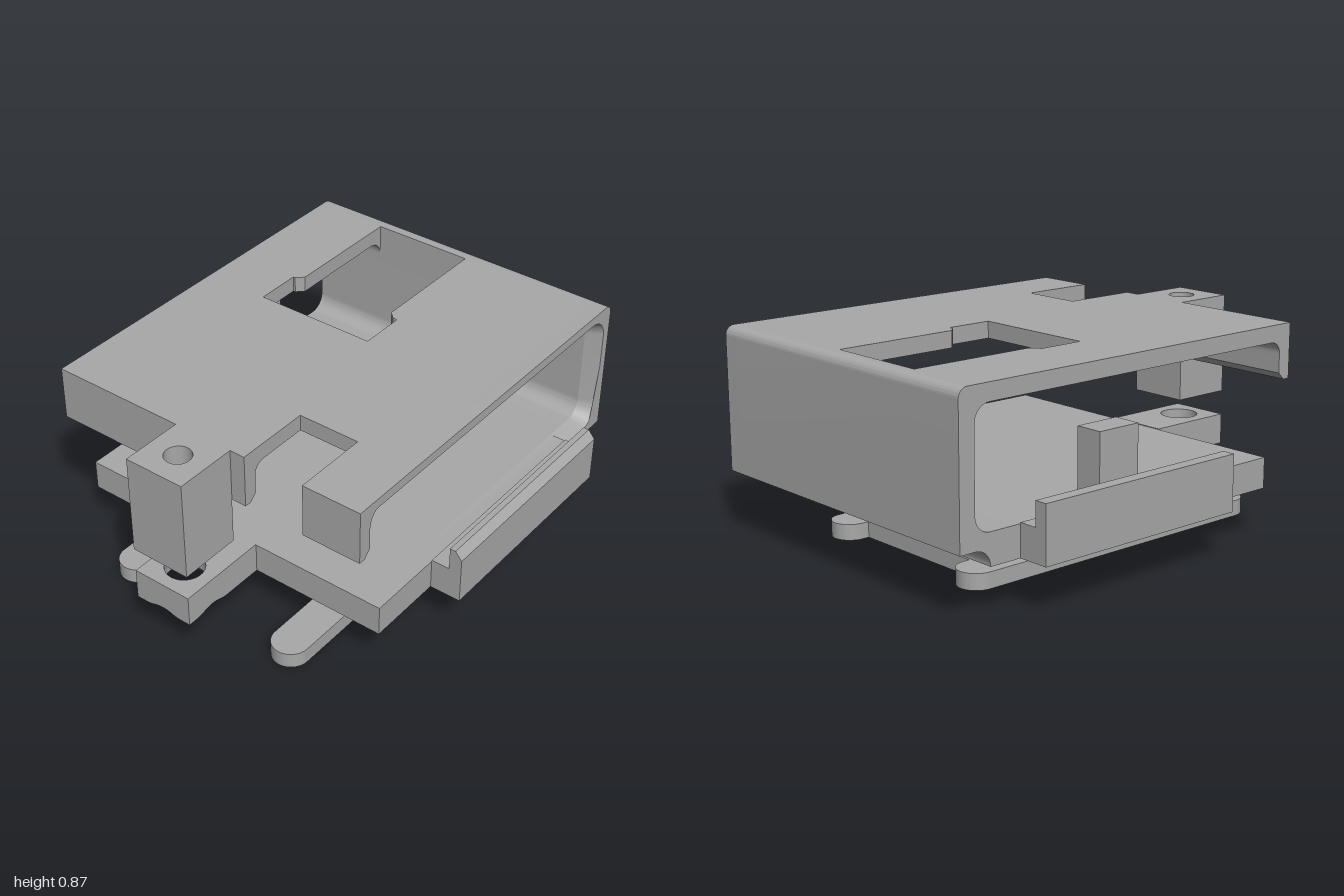
import * as THREE from 'three';
import { toCreasedNormals } from 'three/addons/utils/BufferGeometryUtils.js';

export function createModel() {
  const model = new THREE.Group();
  model.name = 'clipHousing';
  const grey = new THREE.MeshStandardMaterial({ color: 0xa8a8a8 });
  grey.name = 'plain grey';

  const add = (name, geometry) => {
    const mesh = new THREE.Mesh(toCreasedNormals(geometry, 0.6), grey);
    mesh.name = name;
    model.add(mesh);
    return mesh;
  };
  const box = (name, x0, x1, y0, y1, z0, z1) =>
    add(name, new THREE.BoxGeometry(x1 - x0, y1 - y0, z1 - z0)
      .translate((x0 + x1) / 2, (y0 + y1) / 2, (z0 + z1) / 2));
  const polygon = (pts) => new THREE.Shape(pts.map(([x, y]) => new THREE.Vector2(x, y)));
  // Profile in x,y pulled along z
  const alongZ = (shape, z0, z1) => new THREE.ExtrudeGeometry(shape,
    { depth: z1 - z0, bevelEnabled: false, curveSegments: 8 }).translate(0, 0, z0);
  // Plan in x,z pulled along y
  const alongY = (shape, y0, y1) => new THREE.ExtrudeGeometry(shape,
    { depth: y1 - y0, bevelEnabled: false, curveSegments: 16 }).rotateX(Math.PI / 2).translate(0, y1, 0);

  const BACK = -0.73, FRONT = 0.73, FLARE = 0.66;

  // Floor underside and outer side wall, shared by two profiles
  const outerSide = (s) => {
    s.moveTo(-0.6, 0.2);
    s.lineTo(0.86, 0.2);
    s.absarc(0.93, 0.2, 0.07, Math.PI, Math.PI / 2, true);
    s.lineTo(1, 0.27);
    s.absarc(0.96, 0.83, 0.04, 0, Math.PI / 2, false);
  };
  const innerFloor = (s) => {
    s.absarc(0.86, 0.4, 0.07, 0, -Math.PI / 2, true);
    s.lineTo(0.73, 0.33);
    s.lineTo(0.72, 0.33);
    s.lineTo(-0.6, 0.33);
    s.closePath();
  };

  // Floor and side wall
  const tub = new THREE.Shape();
  outerSide(tub);
  tub.lineTo(0.93, 0.87);
  innerFloor(tub);
  add('floorAndSideWall', alongZ(tub, BACK, FLARE));

  // Roof plate with the stepped window and the edge notch
  add('roof', alongY(polygon([
    [-0.73, BACK], [0.93, BACK], [0.93, -0.4], [0.39, -0.4], [0.36, -0.43], [0.36, -0.44],
    [0.16, -0.44], [0.16, 0.1], [0.36, 0.1], [0.36, 0.08], [0.39, 0.05], [0.93, 0.05],
    [0.93, FLARE], [-0.73, FLARE], [-0.73, 0.47], [-0.4, 0.47], [-0.4, 0.2], [-0.73, 0.2],
  ]), 0.8, 0.87));

  // Inner fillet between roof and wall, either side of the window
  const fillet = new THREE.Shape();
  fillet.moveTo(0.93, 0.8);
  fillet.lineTo(0.86, 0.8);
  fillet.absarc(0.86, 0.73, 0.07, Math.PI / 2, 0, true);
  fillet.closePath();
  for (const [z0, z1] of [[BACK, -0.4], [0.05, FLARE]]) add('roofFillet', alongZ(fillet, z0, z1));

  // Hanging lip, interrupted by the notch
  const lip = new THREE.Shape();
  lip.moveTo(-0.73, 0.64);
  lip.lineTo(-0.7, 0.64);
  lip.lineTo(-0.67, 0.67);
  lip.absarc(-0.62, 0.75, 0.05, Math.PI, Math.PI / 2, true);
  lip.lineTo(-0.73, 0.8);
  lip.closePath();
  for (const [z0, z1] of [[BACK, 0.2], [0.47, FLARE]]) add('hangingLip', alongZ(lip, z0, z1));

  // Front rim: the full profile, its inner edge widening towards the front
  const rim = new THREE.Shape();
  outerSide(rim);
  rim.lineTo(-0.73, 0.87);
  rim.lineTo(-0.73, 0.64);
  rim.lineTo(-0.7, 0.64);
  rim.lineTo(-0.67, 0.67);
  rim.absarc(-0.62, 0.75, 0.05, Math.PI, Math.PI / 2, true);
  rim.absarc(0.86, 0.73, 0.07, Math.PI / 2, 0, true);
  innerFloor(rim);
  const rimGeo = alongZ(rim, FLARE, FRONT);
  const p = rimGeo.attributes.position;
  const ramp = (v) => THREE.MathUtils.clamp(v / 0.07, 0, 1) * 0.03;
  for (let i = 0; i < p.count; i++) {
    const x = p.getX(i), y = p.getY(i);
    if (p.getZ(i) < FRONT - 0.01 || x > 0.931 || x < -0.69 || y > 0.801 || y < 0.329) continue;
    const down = x > 0.725 ? ramp(0.4 - y) : 0;
    p.setXY(i, x + ramp(x - 0.86), y + ramp(y - 0.73) - down);
  }
  add('flaredRim', rimGeo);

  // Side ledges with upright catches; only the front catch is chamfered
  for (const side of [1, -1]) {
    const top = side > 0 ? [[0.865, 0.4], [0.835, 0.435]] : [[0.865, 0.435]];
    const section = polygon([[0.73, 0.2], [0.865, 0.2], ...top, [0.81, 0.435], [0.81, 0.335], [0.73, 0.335]]
      .map(([z, y]) => [-z * side, y]));
    add(side > 0 ? 'frontCatch' : 'backCatch',
      alongZ(section, -0.26, 0.72).rotateY(Math.PI / 2));
  }

  // Peg standing on the floor at the back
  box('peg', 0.13, 0.33, 0.32, 0.6, BACK, -0.61);

  // Screw block under the roof edge
  const blockPlan = polygon([[-1, -0.133], [-0.73, -0.133], [-0.73, 0.133], [-1, 0.133]]);
  const bore = new THREE.Path();
  bore.absarc(-0.867, 0, 0.055, 0, Math.PI * 2, true);
  blockPlan.holes.push(bore);
  add('screwBlock', alongY(blockPlan, 0.44, 0.87));

  // Screw tab on the floor: square rings around a countersunk hole
  const N = 48, rings = 5, verts = [], faces = [];
  for (let i = 0; i < N; i++) {
    const a = (i / N) * Math.PI * 2, c = Math.cos(a), s = Math.sin(a);
    const d = 0.133 / Math.max(Math.abs(c), Math.abs(s));
    const r = Math.min(d, 0.148);
    const loop = [[0.08, 0.333], [d, 0.333], [d, 0.2 + 0.148 - r], [r, 0.2 + 0.148 - r], [0.08, 0.268]];
    for (const [q, y] of loop) verts.push(-0.867 + q * c, y, q * s);
    for (let k = 0; k < rings; k++) {
      const j = (i + 1) % N, m = (k + 1) % rings;
      const A = i * rings + k, B = i * rings + m, C = j * rings + m, D = j * rings + k;
      faces.push(A, C, B, A, D, C);
    }
  }
  const tab = new THREE.BufferGeometry();
  tab.setAttribute('position', new THREE.Float32BufferAttribute(verts, 3));
  tab.setIndex(faces);
  add('screwTab', tab);
  box('screwTabNeck', -0.734, -0.6, 0.2, 0.333, -0.133, 0.133);

  // Stem and foot plate with four rounded rail ends
  box('stem', -0.2, 0.465, 0.06, 0.21, -0.235, 0.235);
  const foot = new THREE.Shape();
  const H = Math.PI / 2;
  foot.moveTo(-0.72, -0.48);
  foot.absarc(0.65, -0.4, 0.08, -H, H, false);
  foot.lineTo(0.62, -0.32);
  foot.lineTo(0.62, 0.32);
  foot.absarc(0.65, 0.4, 0.08, -H, H, false);
  foot.absarc(-0.72, 0.4, 0.08, H, 3 * H, false);
  foot.lineTo(-0.38, 0.32);
  foot.lineTo(-0.38, -0.32);
  foot.absarc(-0.72, -0.4, 0.08, H, 3 * H, false);
  add('footPlate', alongY(foot, 0, 0.067));

  return model;
}
